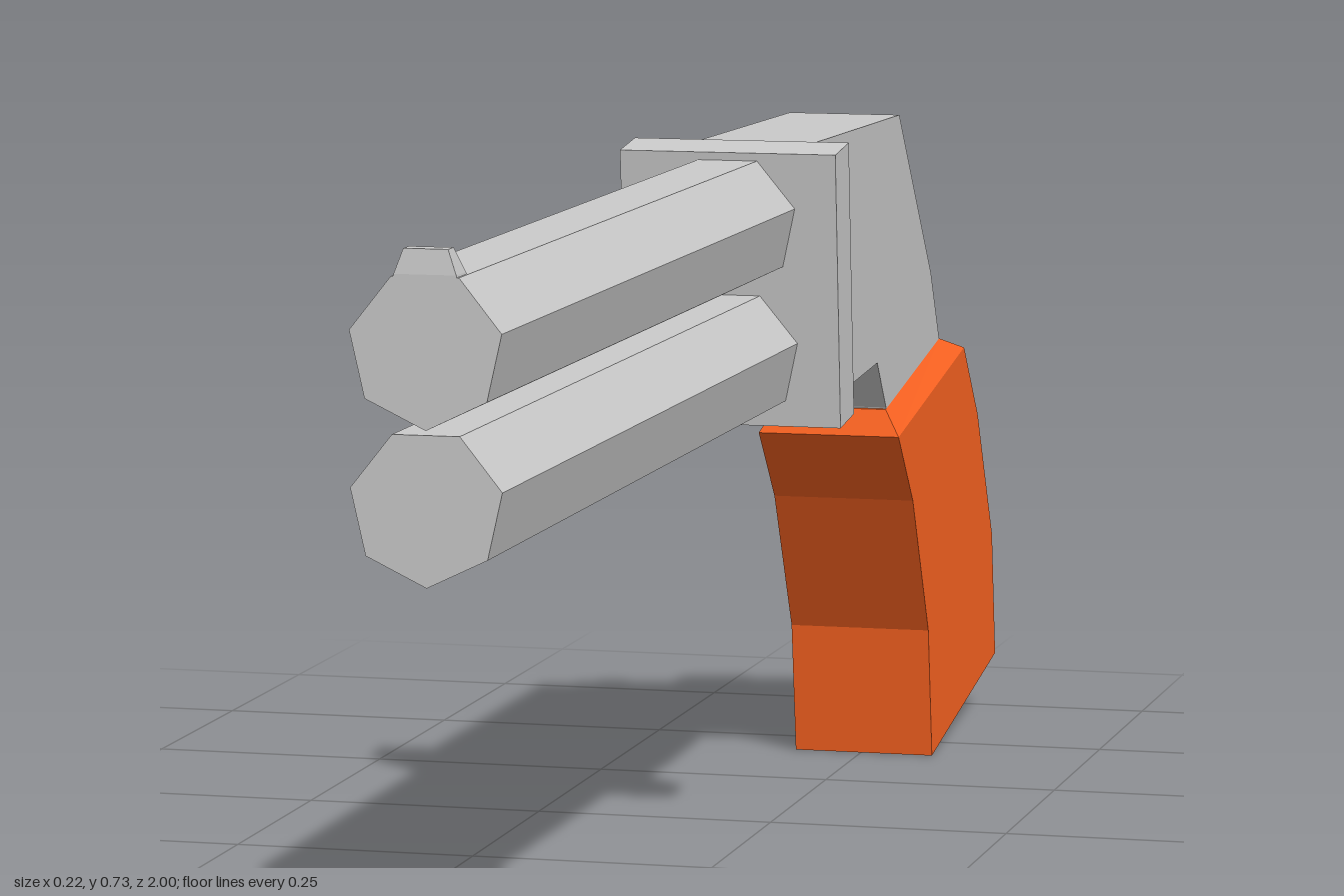
import * as THREE from 'three';

const grey = new THREE.MeshStandardMaterial({ color: 0xcccccc, flatShading: true });
const orange = new THREE.MeshStandardMaterial({ color: 0xff6522, flatShading: true });

function add(group, name, geometry, material = grey) {
  const mesh = new THREE.Mesh(geometry, material);
  mesh.name = name;
  group.add(mesh);
  return mesh;
}

// Side profile of [z, y] points, extruded across x
function slab(points, halfWidth) {
  const shape = new THREE.Shape(points.map(([z, y]) => new THREE.Vector2(z, y)));
  const geometry = new THREE.ExtrudeGeometry(shape, { depth: halfWidth * 2, bevelEnabled: false });
  return geometry.translate(0, 0, -halfWidth).rotateY(-Math.PI / 2);
}

// Four-sided loft; each section, from bottom to top, is [front, rear, halfWidth]
function loft(sections, capBottom = true) {
  const corners = sections.map(([f, r, w]) => [
    [w, f[1], f[0]], [w, r[1], r[0]], [-w, r[1], r[0]], [-w, f[1], f[0]],
  ]);
  const positions = [];
  const quad = (a, b, c, d) => positions.push(...a, ...b, ...c, ...a, ...c, ...d);
  for (let s = 0; s < corners.length - 1; s++) {
    const lo = corners[s], hi = corners[s + 1];
    for (let i = 0; i < 4; i++) {
      const j = (i + 1) % 4;
      quad(lo[i], lo[j], hi[j], hi[i]);
    }
  }
  quad(...corners[corners.length - 1]);
  if (capBottom) quad(...[...corners[0]].reverse());
  const geometry = new THREE.BufferGeometry();
  geometry.setAttribute('position', new THREE.Float32BufferAttribute(positions, 3));
  geometry.computeVertexNormals();
  return geometry;
}

export function createModel() {
  const model = new THREE.Group();
  model.name = 'doubleBarrelPistol';

  // Two seven-sided barrels, one above the other
  for (const [name, y] of [['upperBarrel', 0.645], ['lowerBarrel', 0.508]]) {
    const barrel = new THREE.CylinderGeometry(0.07, 0.07, 1.1, 7).rotateX(Math.PI / 2);
    add(model, name, barrel).position.set(0, y, 0.45);
  }

  // Front sight on the muzzle
  add(model, 'frontSight', loft([
    [[1, 0.7], [0.965, 0.7], 0.03],
    [[1, 0.71], [0.97, 0.71], 0.028],
    [[0.997, 0.732], [0.98, 0.732], 0.02],
  ]));

  // Tilted plate behind the barrels
  add(model, 'breechPlate', slab([
    [-0.064, 0.716], [-0.123, 0.723], [-0.15, 0.445], [-0.09, 0.438],
  ], 0.111));

  // Receiver body, sloping down into the grip
  add(model, 'receiver', slab([
    [-0.11, 0.718], [-0.567, 0.711], [-0.727, 0.524], [-0.77, 0.447],
    [-0.77, 0.425], [-0.515, 0.385], [-0.508, 0.404], [-0.465, 0.457],
    [-0.29, 0.446], [-0.13, 0.446],
  ], 0.06)).position.x = 0.003;

  // Small hammer on the rear slope
  add(model, 'hammer', loft([
    [[-0.625, 0.6], [-0.65, 0.6], 0.057],
    [[-0.625, 0.625], [-0.648, 0.62], 0.052],
    [[-0.625, 0.664], [-0.644, 0.657], 0.03],
  ])).position.x = 0.003;

  // Curved grip with a chamfered top
  const gripSections = [
    [[-0.668, 0], [-1, 0.06], 0.0765],
    [[-0.647, 0.142], [-0.979, 0.2], 0.0765],
    [[-0.567, 0.296], [-0.898, 0.347], 0.0765],
    [[-0.496, 0.374], [-0.824, 0.431], 0.0765],
    [[-0.506, 0.402], [-0.77, 0.447], 0.06],
  ];
  const grip = new THREE.Group();
  grip.name = 'grip';
  grip.position.x = 0.003;
  add(grip, 'gripBody', loft(gripSections, false), orange);

  // Grey butt plate closing the grip
  const [front, rear, halfWidth] = gripSections[0];
  add(grip, 'buttPlate', loft([
    [front, rear, halfWidth],
    [[front[0], front[1] + 0.002], [rear[0], rear[1] + 0.002], halfWidth - 0.001],
  ]));
  model.add(grip);

  return model;
}
